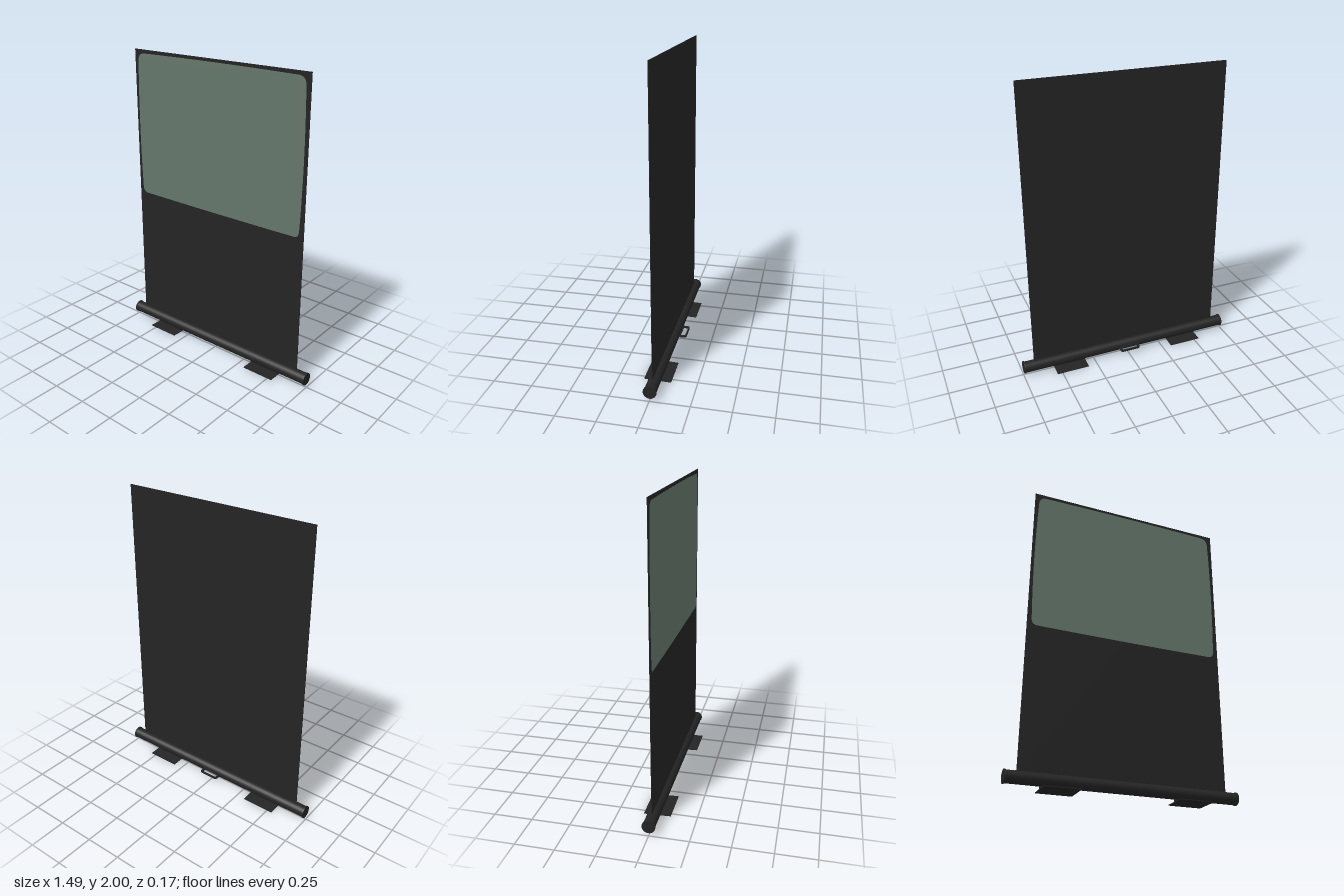
import * as THREE from 'three';

const mat = (name, color) => {
  const m = new THREE.MeshStandardMaterial({ color });
  m.name = name;
  return m;
};

export function createModel() {
  const model = new THREE.Group();
  model.name = 'projectionScreen';
  const black = mat('black', 0x242424);
  const green = mat('greyGreen', 0x65766a);
  const tubeY = 0.062;

  const add = (name, geometry, material, x = 0, y = 0, z = 0, parent = model) => {
    const mesh = new THREE.Mesh(geometry, material);
    mesh.name = name;
    mesh.position.set(x, y, z);
    parent.add(mesh);
    return mesh;
  };

  // Thin upright sheet rising out of the housing
  add('sheet', new THREE.BoxGeometry(1.346, 1.93, 0.004), black, 0, 1.035, 0);

  // Picture area with rounded corners and gently bowed edges
  const w = 0.652, h = 0.484, rx = 0.045, ry = 0.05, bow = 0.009;
  const s = new THREE.Shape();
  s.moveTo(-w + rx, -h + 0.003);
  s.quadraticCurveTo(0, -h - 0.003, w - rx, -h + 0.003);
  s.quadraticCurveTo(w - bow, -h + 0.005, w - bow, -h + ry);
  s.quadraticCurveTo(w + bow, 0, w - bow, h - ry);
  s.quadraticCurveTo(w - bow - 0.006, h - 0.008, w - rx - 0.01, h - 0.005);
  s.quadraticCurveTo(0, h + 0.005, -w + rx + 0.01, h - 0.005);
  s.quadraticCurveTo(-w + bow + 0.006, h - 0.008, -w + bow, h - ry);
  s.quadraticCurveTo(-w - bow, 0, -w + bow, -h + ry);
  s.quadraticCurveTo(-w + bow, -h + 0.005, -w + rx, -h + 0.003);
  add('pictureArea', new THREE.ShapeGeometry(s, 16), green, -0.002, 1.497, 0.0035);

  // Roller housing with slightly wider end caps
  const tube = (r, length) => new THREE.CylinderGeometry(r, r, length, 40).rotateZ(Math.PI / 2);
  add('housing', tube(0.038, 1.48), black, 0, tubeY, -0.002);
  for (const side of [-1, 1]) {
    add('endCap', tube(0.042, 0.008), black, side * 0.743, tubeY, -0.002);
  }
  add('slotLip', new THREE.BoxGeometry(1.36, 0.004, 0.012), black, 0, 0.099, -0.002);

  // Flat feet: a tilted plate under a short bracket
  for (const side of [-1, 1]) {
    const foot = new THREE.Group();
    foot.name = 'foot';
    foot.position.x = side * 0.424;
    model.add(foot);
    const plate = add('footPlate', new THREE.BoxGeometry(0.222, 0.005, 0.172), black, 0, 0.008, 0, foot);
    plate.rotation.x = -0.03;
    add('footBracket', new THREE.BoxGeometry(0.222, 0.02, 0.012), black, 0, 0.018, 0, foot);
  }

  // Carrying handle: a flat loop at the back, lying level
  const loop = (hw, depth, r) => (p) => {
    p.moveTo(-hw, 0);
    p.lineTo(hw, 0);
    p.lineTo(hw, depth - r);
    p.quadraticCurveTo(hw, depth, hw - r, depth);
    p.lineTo(-hw + r, depth);
    p.quadraticCurveTo(-hw, depth, -hw, depth - r);
    p.closePath();
    return p;
  };
  const handle = loop(0.07, 0.052, 0.02)(new THREE.Shape());
  const hole = loop(0.058, 0.032, 0.014)(new THREE.Path());
  hole.curves.forEach((c) => ['v0', 'v1', 'v2'].forEach((k) => c[k] && (c[k] = c[k].clone().add(new THREE.Vector2(0, 0.01)))));
  handle.holes.push(hole);
  const handleGeometry = new THREE.ExtrudeGeometry(handle, { depth: 0.012, bevelEnabled: false, curveSegments: 10 });
  handleGeometry.rotateX(-Math.PI / 2);
  add('handle', handleGeometry, black, 0, 0.053, -0.036);

  return model;
}
